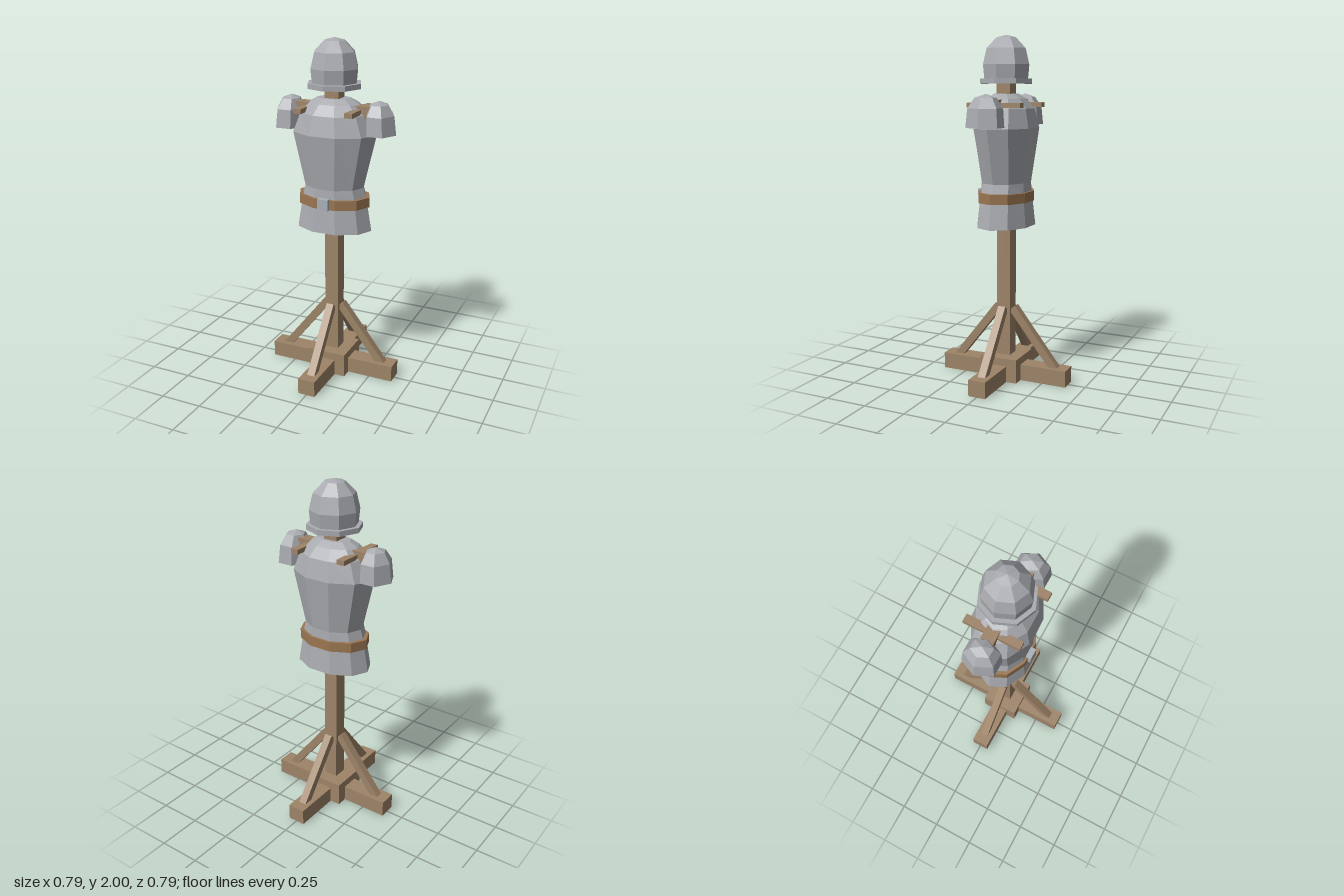
import * as THREE from 'three';

const mat = (name, color) => {
  const m = new THREE.MeshStandardMaterial({ color, flatShading: true });
  m.name = name;
  return m;
};

// Faceted shell through rings [rx, rz, y, xOffset]; outward when listed from bottom to top
function loft(rings, n) {
  const pos = [], index = [];
  rings.forEach(([rx, rz, y, dx = 0]) => {
    for (let i = 0; i < n; i++) {
      const a = (i / n) * Math.PI * 2;
      pos.push(dx + rx * Math.cos(a), y, rz * Math.sin(a));
    }
  });
  for (let r = 0; r < rings.length - 1; r++) {
    for (let i = 0; i < n; i++) {
      const j = (i + 1) % n, b = r * n, t = b + n;
      if (rings[r + 1][0] > 0) index.push(b + i, t + i, t + j);
      else index.push(b + i, t + i, b + j);
      if (rings[r][0] > 0 && rings[r + 1][0] > 0) index.push(b + i, t + j, b + j);
    }
  }
  let g = new THREE.BufferGeometry();
  g.setAttribute('position', new THREE.Float32BufferAttribute(pos, 3));
  g.setIndex(index);
  g = g.toNonIndexed();
  g.computeVertexNormals();
  return g;
}

export function createModel() {
  const root = new THREE.Group();
  root.name = 'armourStand';
  const wood = mat('wood', 0x9e8468);
  const leather = mat('leather', 0x9a7752);
  const steel = mat('steel', 0xa9abb0);
  const buckleSteel = mat('buckleSteel', 0xa8b1b9);

  const add = (name, geometry, material, parent = root) => {
    const m = new THREE.Mesh(geometry, material);
    m.name = name;
    parent.add(m);
    return m;
  };
  const box = (name, [w, h, d], [x, y, z], material, parent) => {
    const m = add(name, new THREE.BoxGeometry(w, h, d), material, parent);
    m.position.set(x, y, z);
    return m;
  };

  // Wooden stand
  box('baseBeamAcross', [0.79, 0.095, 0.104], [0, 0.0475, 0], wood);
  box('baseBeamDeep', [0.104, 0.095, 0.79], [0, 0.0475, 0], wood);
  box('baseHub', [0.23, 0.14, 0.23], [0, 0.07, 0], wood);
  box('post', [0.084, 1.79, 0.084], [0, 0.895, 0], wood);
  box('crossbar', [0.54, 0.07, 0.074], [0, 1.605, 0], wood);

  // Four diagonal braces
  const tilt = Math.atan2(0.345, 0.27);
  for (let i = 0; i < 4; i++) {
    const arm = new THREE.Group();
    arm.name = 'braceArm';
    arm.rotation.y = (i * Math.PI) / 2;
    root.add(arm);
    const brace = box('brace', [0.47, 0.046, 0.046], [0.192, 0.24, 0], wood, arm);
    brace.rotation.z = -tilt;
  }

  // Breastplate: inner wall down, rim, outer wall up to the neck
  add('breastplate', loft([
    [0.10, 0.07, 1.60],
    [0.205, 0.135, 1.48],
    [0.14, 0.10, 1.17],
    [0.175, 0.118, 0.918],
    [0.232, 0.161, 0.918],
    [0.196, 0.141, 1.115],
    [0.18, 0.138, 1.17],
    [0.255, 0.18, 1.48],
    [0.207, 0.156, 1.59],
    [0.15, 0.11, 1.645],
    [0.10, 0.068, 1.672],
    [0, 0, 1.672],
  ], 10), steel);

  // Belt and buckle
  add('belt', loft([
    [0.15, 0.11, 1.06],
    [0.219, 0.154, 1.06],
    [0.219, 0.154, 1.117],
    [0.15, 0.11, 1.117],
  ], 10), leather);
  box('buckle', [0.066, 0.064, 0.035], [0, 1.091, 0.149], buckleSteel);

  // Shoulder plates and straps
  for (const s of [1, -1]) {
    add(s > 0 ? 'leftShoulderPlate' : 'rightShoulderPlate', loft([
      [0, 0, 1.49, s * 0.277],
      [0.091, 0.11, 1.49, s * 0.277],
      [0.083, 0.101, 1.595, s * 0.272],
      [0.054, 0.062, 1.652, s * 0.268],
      [0, 0, 1.673, s * 0.266],
    ], 6), steel);
    box(s > 0 ? 'leftStrap' : 'rightStrap', [0.046, 0.027, 0.327], [s * 0.153, 1.609, 0], wood);
  }

  // Helmet: hollow dome and brim
  add('helmetDome', loft([
    [0, 0, 1.93],
    [0.085, 0.085, 1.90],
    [0.112, 0.112, 1.735],
    [0.13, 0.13, 1.735],
    [0.14, 0.14, 1.835],
    [0.118, 0.118, 1.925],
    [0.059, 0.059, 1.985],
    [0, 0, 2.0],
  ], 8), steel);
  add('helmetBrim', loft([
    [0.112, 0.112, 1.728],
    [0.157, 0.157, 1.728],
    [0.157, 0.157, 1.757],
    [0.112, 0.112, 1.757],
  ], 8), steel);

  return root;
}
